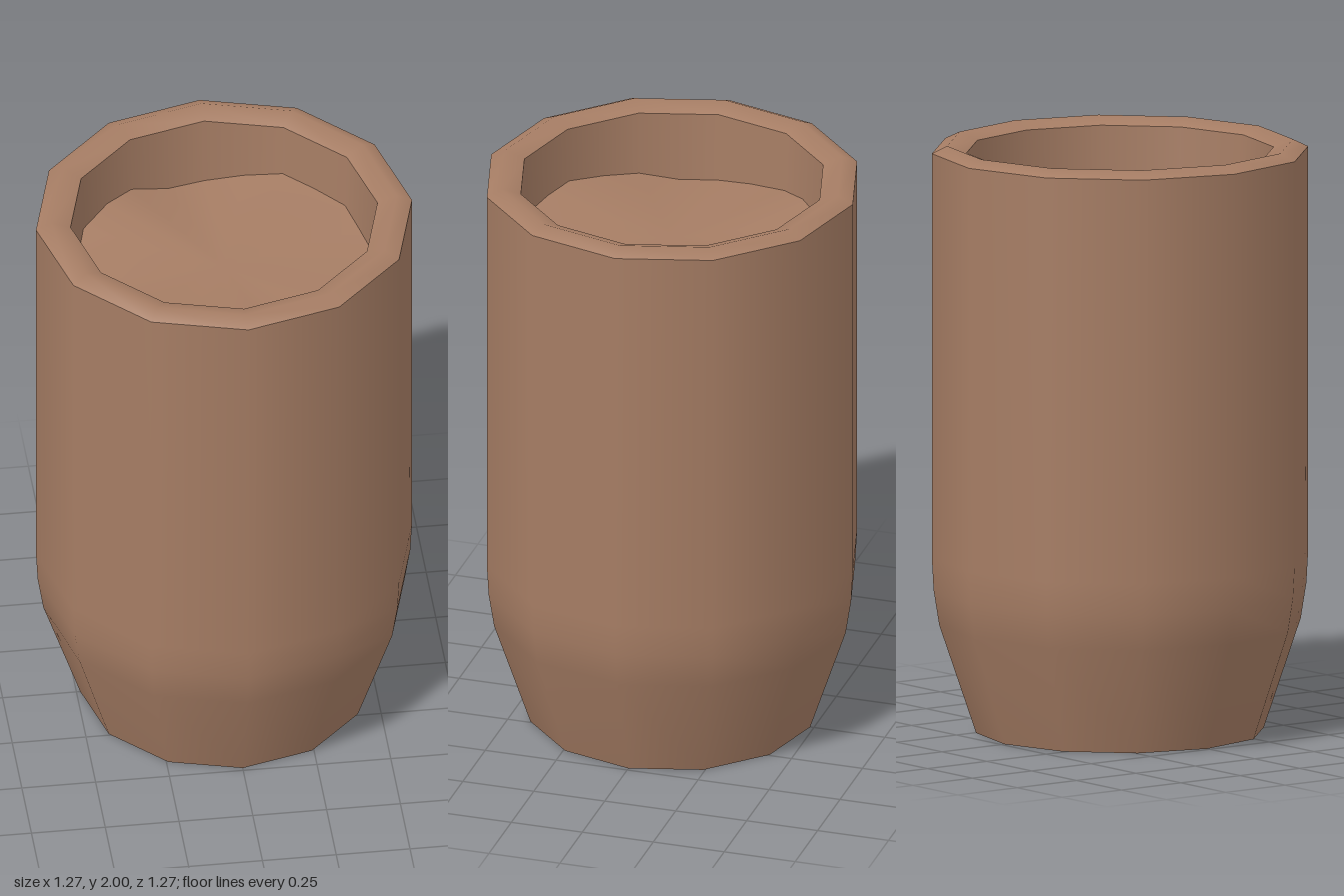
import * as THREE from 'three';

const SIDES = 12;

export function createModel() {
  const model = new THREE.Group();
  model.name = 'cup';
  const brown = new THREE.MeshStandardMaterial({ color: 0xa67d64 });

  // Each section is its own lathe, so edges between sections stay sharp
  const addLathe = (name, profile) => {
    const points = profile.map(([r, y]) => new THREE.Vector2(r, y));
    const mesh = new THREE.Mesh(new THREE.LatheGeometry(points, SIDES), brown);
    mesh.name = name;
    model.add(mesh);
  };

  addLathe('base', [[0, 0], [0.487, 0]]);
  addLathe('outerWall', [[0.487, 0], [0.612, 0.37], [0.631, 0.49], [0.637, 0.6], [0.637, 1.975]]);
  addLathe('rim', [[0.637, 1.975], [0.585, 2], [0.52, 1.975]]);
  addLathe('innerWall', [[0.52, 1.975], [0.508, 1.68]]);

  // Uneven filling: depth below the rim edge every 15 degrees, starting at +z
  const depths = [
    0.205, 0.21, 0.245, 0.22, 0.228, 0.22, 0.225, 0.21, 0.2, 0.19, 0.19, 0.21,
    0.245, 0.24, 0.205, 0.185, 0.21, 0.22, 0.24, 0.24, 0.22, 0.2, 0.19, 0.19,
  ];
  const positions = [0, 1.755, 0];
  const indices = [];
  depths.forEach((depth, i) => {
    const angle = (i / depths.length) * Math.PI * 2;
    // Odd points lie on the middle of a wall facet
    const radius = 0.513 * (i % 2 ? Math.cos(Math.PI / SIDES) : 1);
    positions.push(Math.sin(angle) * radius, 1.975 - depth, Math.cos(angle) * radius);
    indices.push(0, i + 1, ((i + 1) % depths.length) + 1);
  });
  const surface = new THREE.BufferGeometry();
  surface.setAttribute('position', new THREE.Float32BufferAttribute(positions, 3));
  surface.setIndex(indices);
  surface.computeVertexNormals();
  const filling = new THREE.Mesh(surface, brown);
  filling.name = 'filling';
  model.add(filling);

  return model;
}
